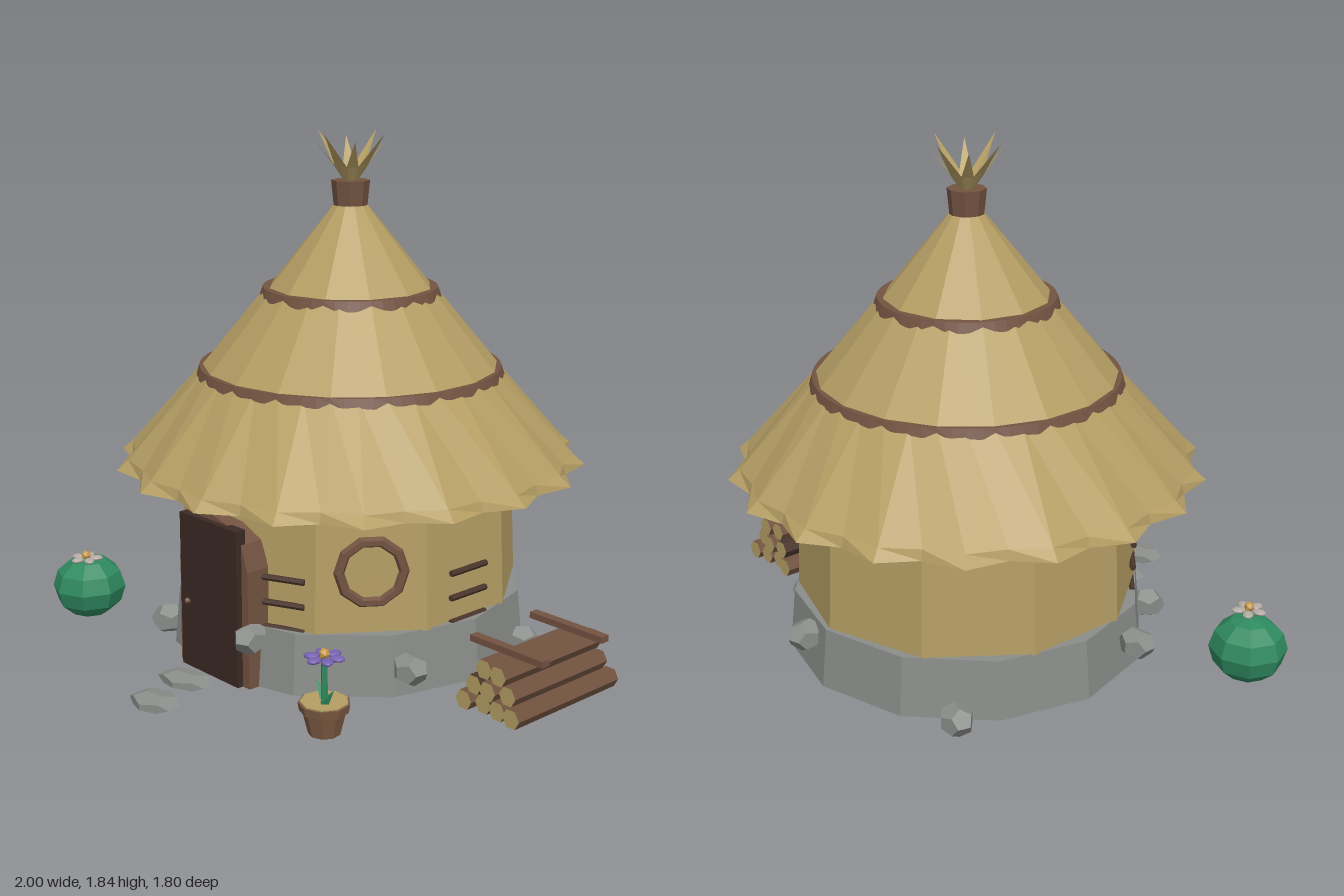
import * as THREE from 'three';

const mat = (name, color) => {
  const m = new THREE.MeshStandardMaterial({ color, flatShading: true, side: THREE.DoubleSide });
  m.name = name;
  return m;
};

export function createModel() {
  const straw = mat('straw', 0xb59e64), wood = mat('wood', 0x735341), darkWood = mat('darkWood', 0x4a352b),
    door = mat('doorWood', 0x3b2a24), stone = mat('stone', 0x8a8d8a), green = mat('plantGreen', 0x2f8a60),
    purple = mat('purplePetal', 0x7661b0), pale = mat('palePetal', 0xb3aaa2), gold = mat('flowerCentre', 0xc79a4a),
    clay = mat('clay', 0x7d5a42);

  const root = new THREE.Group();
  root.name = 'roundHut';
  const hut = new THREE.Group();
  hut.name = 'hut';
  hut.position.set(-0.03, 0, -0.09);
  root.add(hut);

  const add = (parent, name, geo, material, x = 0, y = 0, z = 0) => {
    const m = new THREE.Mesh(geo, material);
    m.name = name;
    m.position.set(x, y, z);
    parent.add(m);
    return m;
  };
  const lathe = (pts, n) => new THREE.LatheGeometry(pts.map(p => new THREE.Vector2(...p)), n);
  // Moves each lathe vertex by rule(profileIndex, segmentIndex) -> [radius, y]
  const shapedLathe = (pts, n, rule) => {
    const g = lathe(pts, n), p = g.attributes.position, k = pts.length;
    for (let i = 0; i < p.count; i++) {
      const seg = Math.floor(i / k), a = seg / n * Math.PI * 2, [r, y] = rule(i % k, seg);
      p.setXYZ(i, r * Math.sin(a), y, r * Math.cos(a));
    }
    g.computeVertexNormals();
    return g;
  };

  // Foundation and walls
  add(hut, 'foundation', new THREE.CylinderGeometry(0.62, 0.64, 0.21, 12), stone, 0, 0.155);
  add(hut, 'wall', new THREE.CylinderGeometry(0.585, 0.605, 0.47, 10), straw, 0, 0.49);

  // Thatched roof: jagged eave, then two narrower tiers
  const eave = [[0, 0.715], [0.8, 0.7], [0.785, 0.735], [0.52, 1.04]];
  add(hut, 'lowerThatch', shapedLathe(eave, 36, (k, s) =>
    k === 1 ? [s % 2 ? 0.83 : 0.775, 0.7] : k === 2 ? [s % 2 ? 0.79 : 0.765, 0.735] : eave[k]), straw);
  add(hut, 'middleThatch', lathe([[0.53, 1.03], [0.3, 1.31]], 18), straw);
  add(hut, 'upperThatch', lathe([[0.305, 1.295], [0.06, 1.6]], 12), straw);

  // Scalloped bands around the roof
  const band = (name, y, r, count, depth) => {
    const per = 4, n = count * per;
    add(hut, name, shapedLathe([[r, y - depth], [r, y], [r - 0.03, y]], n, (k, s) => {
      const d = 0.012 + depth * Math.abs(Math.sin(s / per * Math.PI));
      return k === 0 ? [r + d * 0.4, y - d] : [k === 1 ? r : r - 0.03, y + 0.004];
    }), wood);
  };
  band('lowerBand', 1.04, 0.53, 18, 0.03);
  band('upperBand', 1.315, 0.305, 12, 0.022);

  // Top knot with a tuft of straw blades
  add(hut, 'topKnot', new THREE.CylinderGeometry(0.067, 0.058, 0.09, 8), wood, 0, 1.64);
  const blade = new THREE.BufferGeometry();
  blade.setAttribute('position', new THREE.Float32BufferAttribute(
    [0, 0, 0.01, 0.026, 0.07, 0.05, 0, 0.085, 0.065, -0.026, 0.07, 0.05, 0, 0.19, 0.145], 3));
  blade.setIndex([0, 1, 2, 0, 2, 3, 1, 4, 2, 2, 4, 3]);
  blade.computeVertexNormals();
  for (let i = 0; i < 8; i++) {
    const b = add(hut, 'tuftBlade', blade, straw, 0, 1.66);
    b.rotation.y = (i + 0.2) * Math.PI / 4;
    b.scale.setScalar(i % 2 ? 0.88 : 1);
  }

  // Door with a pointed frame behind it
  const arch = new THREE.Shape([[-0.185, 0.05], [0.185, 0.05], [0.18, 0.46], [0.15, 0.55], [0.08, 0.6],
    [0, 0.62], [-0.08, 0.6], [-0.15, 0.55], [-0.18, 0.46]].map(p => new THREE.Vector2(...p)));
  add(hut, 'doorFrame', new THREE.ExtrudeGeometry(arch, { depth: 0.09, bevelEnabled: false }), wood, 0, 0, 0.54);
  add(hut, 'door', new THREE.BoxGeometry(0.3, 0.55, 0.04), door, 0, 0.325, 0.632);
  add(hut, 'doorKnob', new THREE.IcosahedronGeometry(0.012), wood, -0.11, 0.29, 0.657);

  // Details fixed to the wall, facing outward at a given angle
  const onWall = (name, deg, r, y) => {
    const g = new THREE.Group(), a = THREE.MathUtils.degToRad(deg);
    g.name = name;
    g.position.set(r * Math.sin(a), y, r * Math.cos(a));
    g.rotation.y = a;
    hut.add(g);
    return g;
  };
  const win = onWall('roundWindow', 54, 0.575, 0.47);
  add(win, 'windowRim', new THREE.TorusGeometry(0.108, 0.019, 6, 10), wood);
  add(win, 'windowPane', new THREE.CircleGeometry(0.105, 10), straw, 0, 0, 0.002);
  for (const deg of [-42, 24, 90]) {
    const g = onWall('wallRungs', deg, 0.585, 0.345);
    for (let i = -1; i < 2; i++)
      add(g, 'rung', new THREE.CylinderGeometry(0.011, 0.011, 0.17, 6), darkWood, 0, i * 0.087, 0).rotation.z = Math.PI / 2;
  }

  // Rocks around the foundation
  const rock = (name, x, y, z, sx, sy, sz, turn) => {
    const m = add(root, name, new THREE.DodecahedronGeometry(1), stone, x, y, z);
    m.scale.set(sx, sy, sz);
    m.rotation.y = turn;
  };
  [[-0.68, 0.19, 0.12], [-0.4, 0.12, 0.45], [0.15, 0.23, 0.53], [0.56, 0.15, 0.19], [0.54, 0.085, -0.39],
    [0.08, 0.2, -0.72], [-0.53, 0.085, -0.55]].forEach(([x, y, z], i) => rock('rock', x, y, z, 0.068, 0.055, 0.06, i));
  rock('steppingStone', -0.06, 0.05, 0.645, 0.11, 0.025, 0.07, 0.2);
  rock('steppingStone', 0.01, 0.05, 0.825, 0.1, 0.027, 0.075, 0.1);

  // Flower: ring of flattened petals around a centre
  const flower = (name, parent, x, y, z, count, ring, size, petal) => {
    const g = new THREE.Group();
    g.name = name;
    g.position.set(x, y, z);
    parent.add(g);
    for (let i = 0; i < count; i++) {
      const a = i / count * Math.PI * 2;
      const p = add(g, 'petal', new THREE.IcosahedronGeometry(size, 1), petal, Math.sin(a) * ring, 0, Math.cos(a) * ring);
      p.scale.set(0.75, 0.4, 1);
      p.rotation.y = a;
    }
    add(g, 'flowerCentre', new THREE.IcosahedronGeometry(size * 0.75), gold, 0, 0.012, 0);
  };

  // Round bush
  add(root, 'bush', new THREE.SphereGeometry(0.137, 8, 6), green, -0.865, 0.125, 0.48).scale.y = 0.86;
  flower('bushFlower', root, -0.835, 0.247, 0.51, 5, 0.037, 0.025, pale);

  // Potted flower
  const pot = new THREE.Group();
  pot.name = 'pottedFlower';
  pot.position.set(0.565, 0, 0.575);
  root.add(pot);
  add(pot, 'potBody', new THREE.CylinderGeometry(0.073, 0.052, 0.085, 9), clay, 0, 0.0925);
  add(pot, 'potRim', new THREE.CylinderGeometry(0.085, 0.08, 0.028, 9), clay, 0, 0.142);
  add(pot, 'potSoil', new THREE.CylinderGeometry(0.078, 0.078, 0.006, 9), straw, 0, 0.157);
  add(pot, 'stem', new THREE.CylinderGeometry(0.01, 0.012, 0.15, 6), green, 0, 0.23);
  for (const side of [-1, 1]) {
    const leaf = add(pot, 'leaf', new THREE.ConeGeometry(0.018, 0.075, 4), green, side * 0.035, 0.185, side * 0.012);
    leaf.rotation.z = -side * 0.65;
  }
  flower('purpleFlower', pot, 0, 0.305, 0, 6, 0.042, 0.026, purple);

  // Firewood stack with two cross rails
  const pile = new THREE.Group();
  pile.name = 'firewood';
  root.add(pile);
  for (let row = 0; row < 3; row++) {
    for (let i = 0; i < 4 - row; i++) {
      const len = 0.5 - ((i * 2 + row) % 3) * 0.02;
      const log = add(pile, 'log', new THREE.CylinderGeometry(0.035, 0.035, len, 6),
        [(i + row) % 3 === 1 ? darkWood : wood, straw, straw], 0.745 + row * 0.034 + i * 0.068, 0.085 + row * 0.06, -0.12);
      log.rotation.set(Math.PI / 2, Math.PI / 6, 0);
    }
  }
  for (const z of [-0.27, 0.027])
    add(pile, 'crossRail', new THREE.BoxGeometry(0.31, 0.022, 0.034), wood, 0.845, 0.26, z);

  return root;
}
